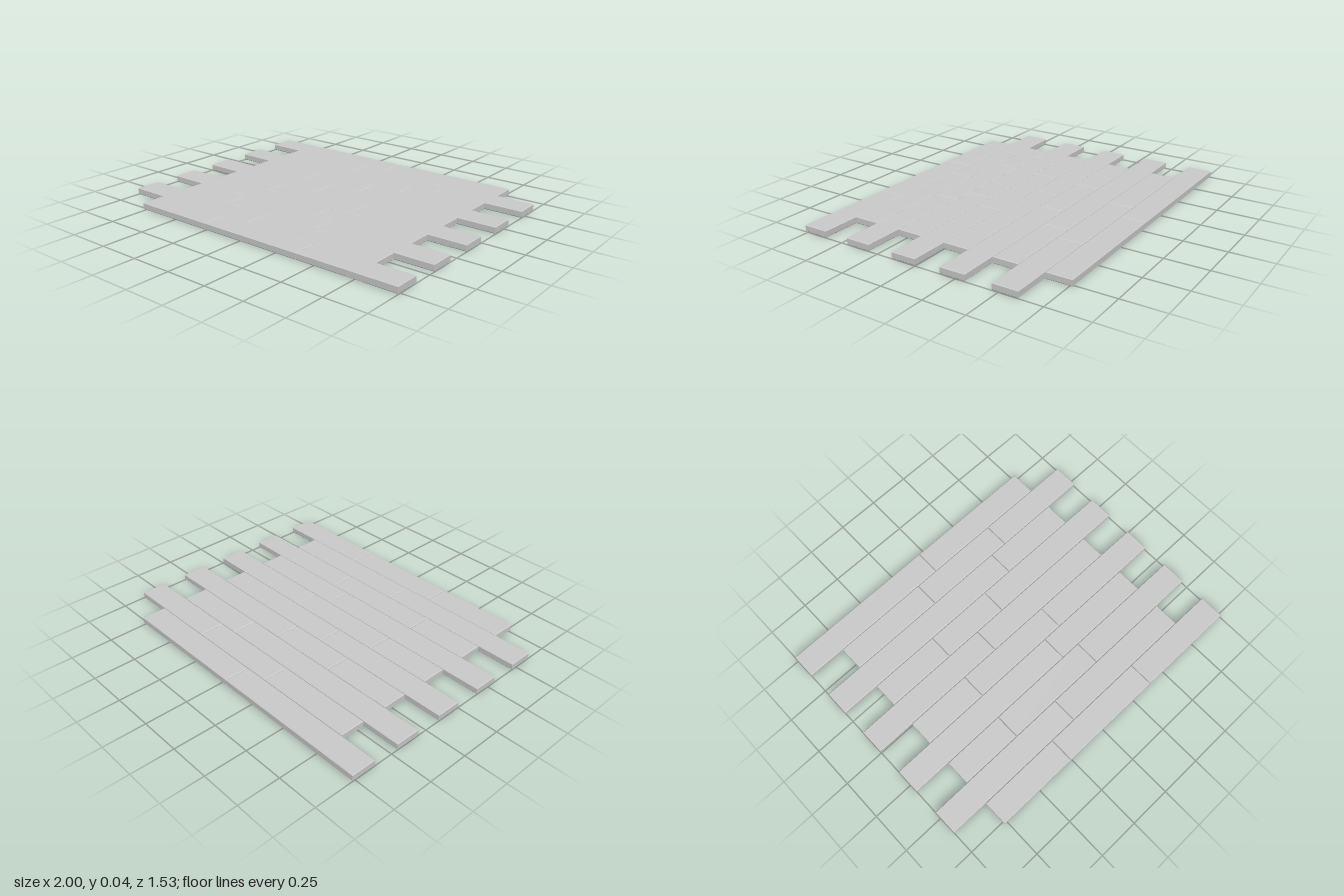
import * as THREE from 'three';

const HEIGHT = 0.04, BEVEL = 0.004, GAP = 0.003, PITCH = 0.1535;

// Inner joints of each row, from back to front
const JOINTS = [
  [-0.035], [-0.18, 0.393], [0.283], [-0.34, 0.08], [-0.12],
  [-0.364, 0.255], [0.134], [-0.386, 0.255], [-0.085], [-0.259, 0.386],
];

// Board lying flat with chamfered top and bottom edges
function plankGeometry(length, width) {
  const x = length / 2 - BEVEL, z = width / 2 - BEVEL;
  const outline = new THREE.Shape([
    new THREE.Vector2(-x, -z), new THREE.Vector2(x, -z),
    new THREE.Vector2(x, z), new THREE.Vector2(-x, z),
  ]);
  const geometry = new THREE.ExtrudeGeometry(outline, {
    depth: HEIGHT - 2 * BEVEL, bevelSize: BEVEL, bevelThickness: BEVEL, bevelSegments: 1,
  });
  return geometry.rotateX(-Math.PI / 2).translate(0, BEVEL, 0);
}

export function createModel() {
  const floor = new THREE.Group();
  floor.name = 'plankFloor';
  const material = new THREE.MeshStandardMaterial({ color: 0xcccccc, flatShading: true });

  JOINTS.forEach((joints, i) => {
    const row = new THREE.Group();
    row.name = `plankRow${i + 1}`;
    row.position.z = (i - (JOINTS.length - 1) / 2) * PITCH;

    // Alternate rows are staggered to the right and to the left
    const [start, end] = i % 2 === 0 ? [-1, 0.766] : [-0.768, 0.998];
    const cuts = [start - GAP / 2, ...joints, end + GAP / 2];
    for (let j = 0; j < cuts.length - 1; j++) {
      const length = cuts[j + 1] - cuts[j] - GAP;
      const plank = new THREE.Mesh(plankGeometry(length, PITCH - GAP), material);
      plank.name = `plank${j + 1}`;
      plank.position.x = (cuts[j] + cuts[j + 1]) / 2;
      row.add(plank);
    }
    floor.add(row);
  });
  return floor;
}
